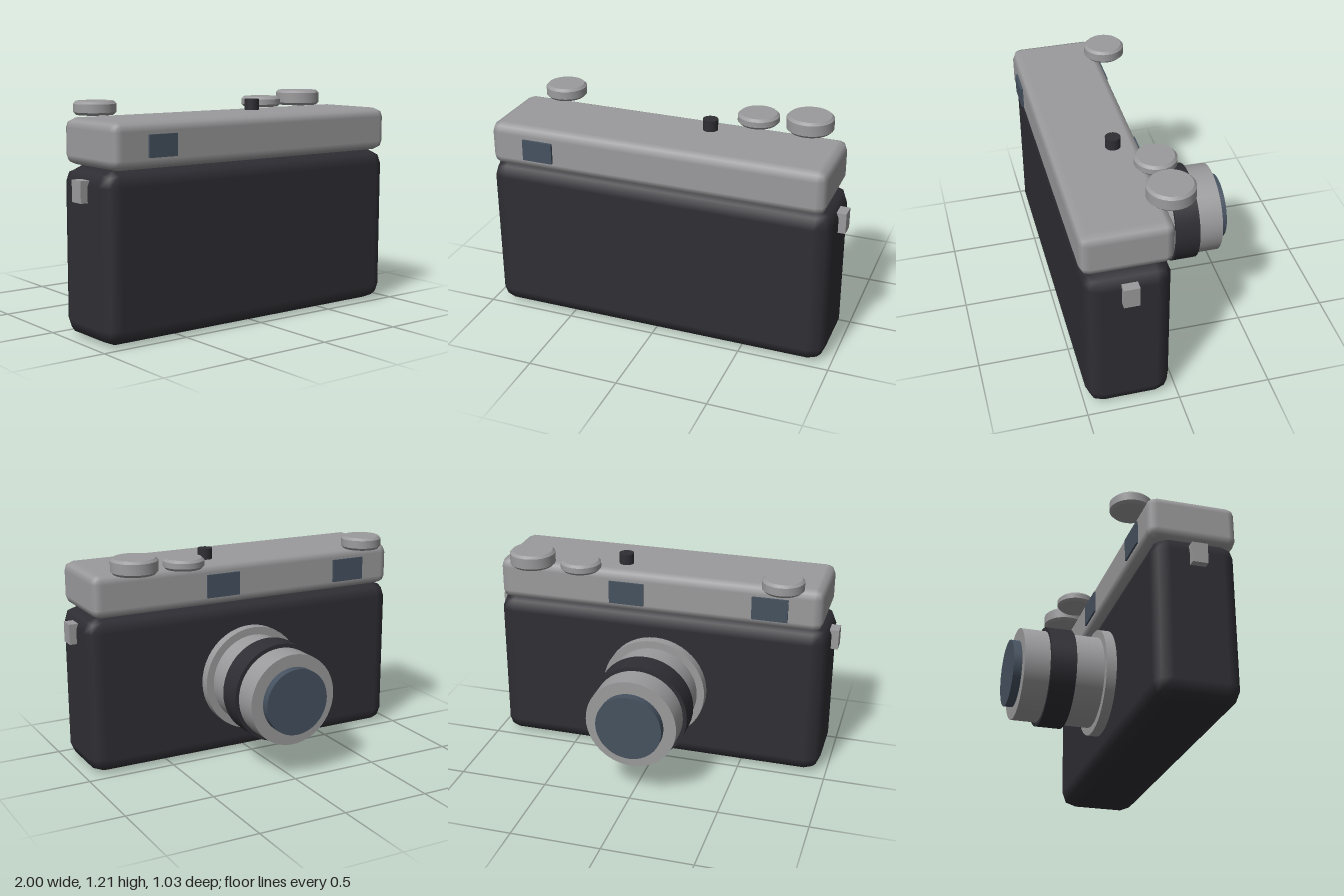
import * as THREE from 'three';
import { toCreasedNormals } from 'three/addons/utils/BufferGeometryUtils.js';
import { RoundedBoxGeometry } from 'three/addons/geometries/RoundedBoxGeometry.js';

const material = (name, color) => {
  const m = new THREE.MeshStandardMaterial({ color });
  m.name = name;
  return m;
};

export function createModel() {
  const silver = material('silver metal', 0x9b9b9d);
  const leather = material('dark leatherette', 0x2f2e34);
  const glass = material('blue grey glass', 0x465260);
  const camera = new THREE.Group();
  camera.name = 'camera';

  const add = (name, geometry, mat, x, y, z) => {
    const mesh = new THREE.Mesh(geometry, mat);
    mesh.name = name;
    mesh.position.set(x, y, z);
    camera.add(mesh);
    return mesh;
  };

  // Body and top cover, with coarse two-facet rounded edges
  add('body', new RoundedBoxGeometry(1.92, 0.885, 0.455, 1, 0.085), leather, 0, 0.4425, 0.258);
  add('topCover', new RoundedBoxGeometry(1.86, 0.24, 0.485, 1, 0.05), silver, 0, 1.005, 0.258);

  // Lens stages pointing to -z: name, radius, z start, z end
  const stages = [
    ['lensFlange', 0.298, 0.04, -0.025, silver],
    ['lensBarrel', 0.255, 0.0, -0.466, silver],
    ['focusRing', 0.277, -0.185, -0.326, leather],
    ['lensGlass', 0.185, -0.45, -0.512, glass],
  ];
  for (const [name, r, z0, z1, mat] of stages) {
    const g = new THREE.CylinderGeometry(r, r, z0 - z1, 48).rotateX(Math.PI / 2);
    add(name, g, mat, 0, 0.445, (z0 + z1) / 2);
  }

  // Chamfered dials overhanging the lens side
  const dial = (name, x, r, h) => {
    const c = 0.014;
    const profile = [[0, 0], [r - c, 0], [r, c], [r, h - c], [r - c, h], [0, h]]
      .map(([px, py]) => new THREE.Vector2(px, py));
    add(name, toCreasedNormals(new THREE.LatheGeometry(profile, 32), 0.5), silver, x, 1.128, -0.013);
  };
  dial('rewindKnob', -0.715, 0.114, 0.072);
  dial('speedDial', 0.423, 0.113, 0.058);
  dial('advanceDial', 0.708, 0.127, 0.086);

  // Shutter button
  add('shutterButton', new THREE.CylinderGeometry(0.041, 0.041, 0.07, 24), leather, 0.21, 1.15, 0.16);

  // Eyepiece and the two finder windows
  add('eyepiece', new THREE.BoxGeometry(0.17, 0.115, 0.03), glass, -0.645, 1.002, 0.5);
  add('viewfinderWindow', new THREE.BoxGeometry(0.2, 0.13, 0.03), glass, -0.643, 1.0, 0.02);
  add('rangefinderWindow', new THREE.BoxGeometry(0.2, 0.13, 0.03), glass, 0.17, 1.0, 0.02);

  // Strap lugs
  for (const side of [-1, 1]) {
    add(side > 0 ? 'leftStrapLug' : 'rightStrapLug',
      new THREE.BoxGeometry(0.06, 0.113, 0.084), silver, side * 0.97, 0.773, 0.26);
  }
  return camera;
}
